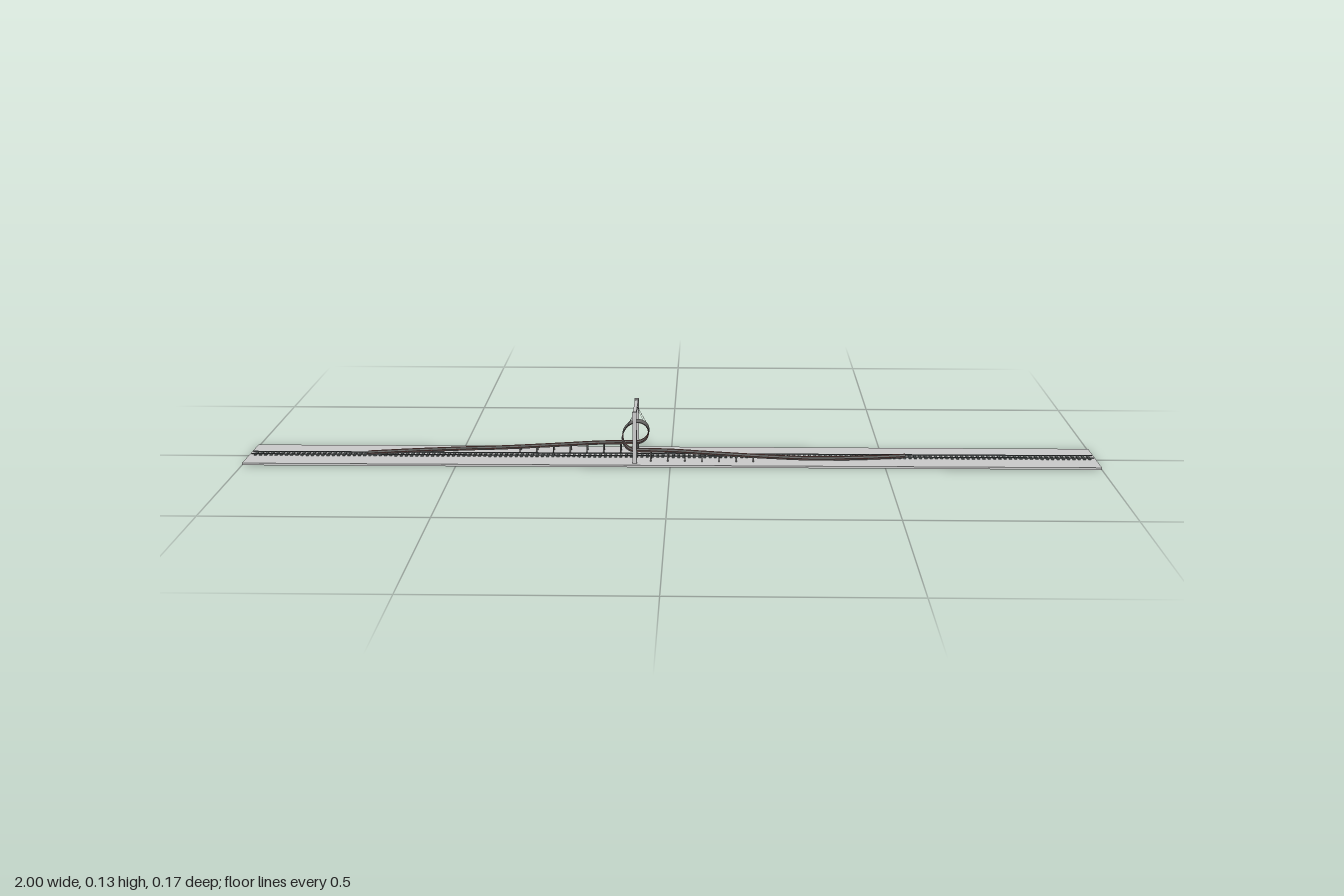
import * as THREE from 'three';
import { toCreasedNormals } from 'three/addons/utils/BufferGeometryUtils.js';

const CX = -0.083, CY = 0.059, R = 0.03, ZT = 0.037; // loop centre, radius, track offset

const grey = new THREE.MeshStandardMaterial({ color: 0xcccccc });
const paint = (color) => new THREE.MeshStandardMaterial({ color });
const dark = paint(0x70706e), steel = paint(0x555a5c), red = paint(0x8a5a55), wood = paint(0x6c7472);

function box(parent, name, w, h, d, x, y, z, mat = grey) {
  const m = new THREE.Mesh(new THREE.BoxGeometry(w, h, d), mat);
  m.name = name;
  m.position.set(x, y, z);
  parent.add(m);
  return m;
}

// Half of the ride: ramp on the right-hand end, then up to the top of the loop
function ridePath() {
  const ramp = new THREE.CatmullRomCurve3([
    [-0.72, 0.009, -0.002], [-0.62, 0.0095, -0.022], [-0.5, 0.011, -ZT], [-0.4, 0.0145, -ZT],
    [-0.28, 0.021, -ZT], [-0.17, 0.0275, -ZT], [CX - 0.03, CY - R, -ZT],
  ].map((p) => new THREE.Vector3(...p)), false, 'centripetal');
  const half = ramp.getPoints(60);
  for (let i = 0; i <= 32; i++) {
    const a = (i / 32) * Math.PI;
    half.push(new THREE.Vector3(CX + R * Math.sin(a), CY - R * Math.cos(a), -ZT * Math.cos(a / 2)));
  }
  // The other half is the same, turned half a circle about the loop's vertical axis
  const rest = half.slice(0, -1).reverse().map((p) => new THREE.Vector3(2 * CX - p.x, p.y, -p.z));
  return half.concat(rest);
}

// Direction in the xy plane at path point i
function heading(path, i) {
  const a = path[Math.max(i - 1, 0)], b = path[Math.min(i + 1, path.length - 1)];
  return new THREE.Vector2(b.x - a.x, b.y - a.y).normalize();
}

// Sweep a rectangle (z0..z1 across, n0..n1 along the normal) down the path
function sweep(path, z0, z1, n0, n1) {
  const rings = path.map((p, i) => {
    const t = heading(path, i);
    return [[z0, n0], [z1, n0], [z1, n1], [z0, n1]].map(
      ([z, n]) => new THREE.Vector3(p.x - t.y * n, p.y + t.x * n, p.z + z));
  });
  const out = [];
  const quad = (a, b, c, d) => out.push(a, b, c, a, c, d);
  for (let i = 0; i < rings.length - 1; i++) {
    for (let k = 0; k < 4; k++) {
      const j = (k + 1) % 4;
      quad(rings[i][k], rings[i + 1][k], rings[i + 1][j], rings[i][j]);
    }
  }
  quad(...rings[0]);
  quad(...rings[rings.length - 1].slice().reverse());
  const g = new THREE.BufferGeometry().setFromPoints(out);
  return toCreasedNormals(g, 0.6);
}

export function createModel() {
  const model = new THREE.Group();

  box(model, 'basePlate', 2, 0.005, 0.172, 0, 0.0025, 0);

  // Straight ground track
  const ground = new THREE.Group();
  ground.name = 'groundTrack';
  model.add(ground);
  const count = 160;
  const sleepers = new THREE.InstancedMesh(new THREE.BoxGeometry(0.006, 0.002, 0.034), wood, count);
  sleepers.name = 'groundSleepers';
  const m = new THREE.Matrix4();
  for (let i = 0; i < count; i++) {
    sleepers.setMatrixAt(i, m.makeTranslation(-0.985 + (1.97 * i) / (count - 1), 0.006, 0));
  }
  ground.add(sleepers);
  for (const s of [-1, 1]) box(ground, 'groundRail', 1.99, 0.002, 0.002, 0, 0.008, s * 0.011, steel);

  // Raised track with its loop
  const path = ridePath();
  const ride = new THREE.Group();
  ride.name = 'loopTrack';
  model.add(ride);
  const strip = (name, mat, ...size) => {
    const mesh = new THREE.Mesh(sweep(path, ...size), mat);
    mesh.name = name;
    ride.add(mesh);
  };
  strip('trackDeck', dark, -0.017, 0.017, -0.0012, 0);
  for (const s of [-1, 1]) strip('trackRail', red, s * 0.012 - 0.0008, s * 0.012 + 0.0008, 0, 0.0016);

  // Legs under both ramps
  const legs = new THREE.Group();
  legs.name = 'rampLegs';
  model.add(legs);
  for (let x = -0.36; x < CX + 0.01; x += 0.04) {
    const p = path.slice(0, 62).reduce((a, b) => (Math.abs(b.x - x) < Math.abs(a.x - x) ? b : a));
    const h = p.y - 0.006;
    for (const side of [-1, 1]) {
      for (const e of [-1, 1]) {
        const lx = side < 0 ? x : 2 * CX - x;
        box(legs, 'rampLeg', 0.003, h, 0.003, lx, 0.005 + h / 2, side * ZT + e * 0.014, dark);
      }
    }
  }

  // Gantry over the loop
  const gantry = new THREE.Group();
  gantry.name = 'gantry';
  model.add(gantry);
  for (const s of [-1, 1]) box(gantry, 'gantryPost', 0.01, 0.123, 0.009, CX, 0.0665, s * 0.068);
  box(gantry, 'gantryBeam', 0.008, 0.007, 0.13, CX, 0.122, 0);

  // Hanger wires from the beam to the edges of the loop
  const up = new THREE.Vector3(0, 1, 0);
  for (const a of [0.62, 0.8, 1]) {
    for (const s of [-1, 1]) {
      const t = a * Math.PI;
      const z = -ZT * Math.cos(t / 2) - 0.0165;
      const low = new THREE.Vector3(CX + s * -R * Math.sin(t) * -1, CY - R * Math.cos(t), z);
      if (s < 0) low.z = -z;
      const top = new THREE.Vector3(CX, 0.12, low.z);
      const dir = top.clone().sub(low);
      const wire = new THREE.Mesh(new THREE.CylinderGeometry(0.0005, 0.0005, dir.length(), 6), dark);
      wire.name = 'hangerWire';
      wire.position.copy(low).addScaledVector(dir, 0.5);
      wire.quaternion.setFromUnitVectors(up, dir.normalize());
      gantry.add(wire);
    }
  }
  return model;
}
